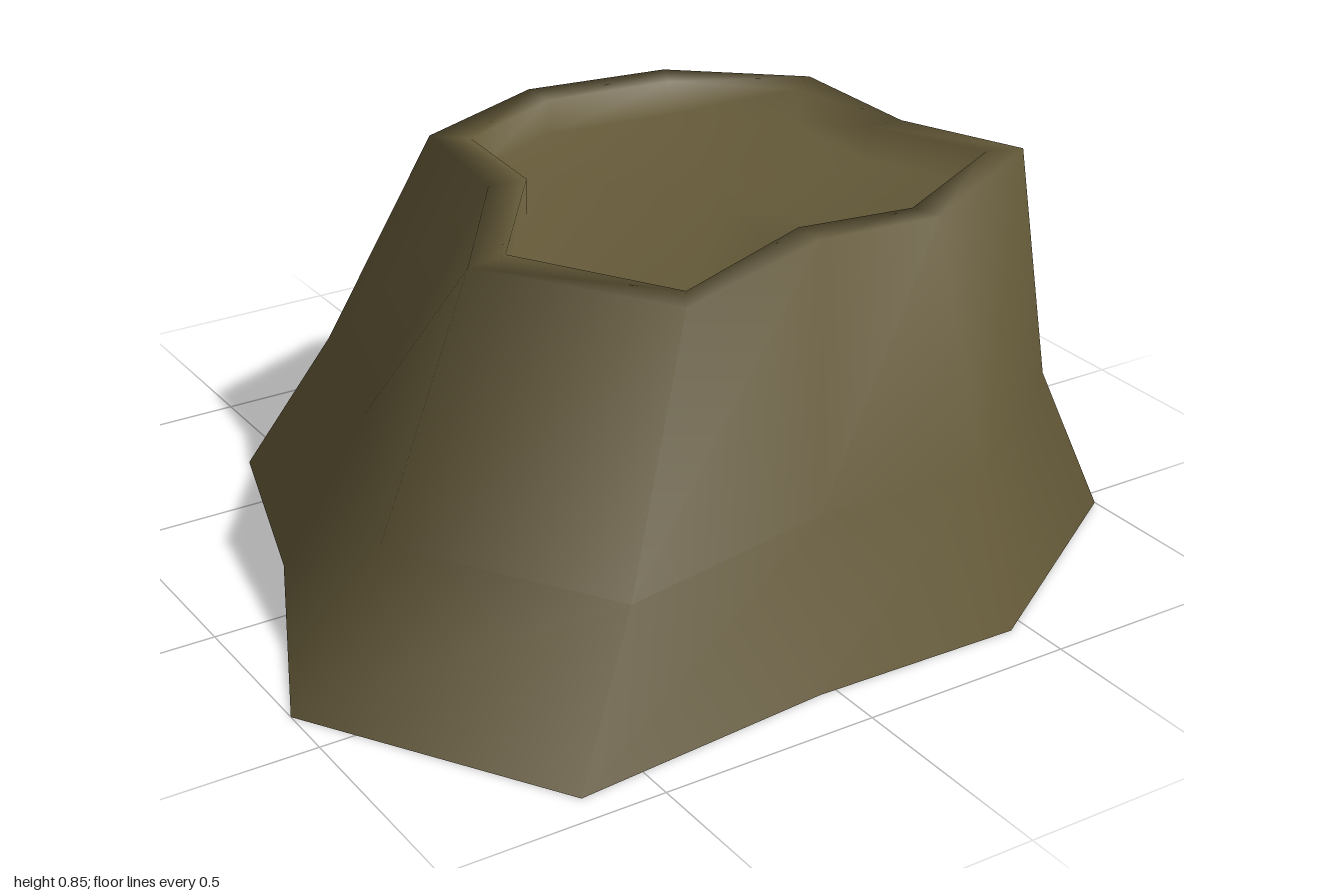
import * as THREE from 'three';

// Cross-sections as [x, z] corners, running counter-clockwise seen from above
const FOOT = [[-1, .37], [-.65, .93], [-.04, .875], [.46, .885], [1, .54], [.88, .04], [.88, -.49], [.45, -.73], [-.09, -.93], [-.59, -.7], [-.74, -.2]];
const WAIST = [[-.78, .37], [-.48, .84], [.05, .74], [.46, .76], [.88, .46], [.82, .05], [.8, -.42], [.45, -.65], [0, -.81], [-.42, -.58], [-.54, -.17]];
const RIM = [[-.51, .27], [-.25, .675], [.18, .53], [.47, .56], [.88, .34], [.76, .05], [.76, -.31], [.49, -.54], [.14, -.59], [-.21, -.44], [-.25, -.1]];
const LIP = [[-.41, .25], [-.2, .6], [.18, .45], [.45, .49], [.8, .31], [.67, .04], [.68, -.25], [.45, -.46], [.14, -.5], [-.14, -.37], [-.16, -.09]];

const TOP = 0.845;
const FLOOR = 0.76;

// Joins stacked rings of equal corner count with smooth normals
function loft(rings) {
  const n = rings[0].points.length, pos = [], index = [];
  for (const { points, y } of rings) for (const [x, z] of points) pos.push(x, y, z);
  for (let r = 0; r < rings.length - 1; r++) {
    for (let i = 0; i < n; i++) {
      const a = r * n + i, b = r * n + (i + 1) % n;
      index.push(a, b, b + n, a, b + n, a + n);
    }
  }
  const g = new THREE.BufferGeometry();
  g.setAttribute('position', new THREE.Float32BufferAttribute(pos, 3));
  g.setIndex(index);
  g.computeVertexNormals();
  return g;
}

// Shrinks a ring towards the middle of the hollow
const shrink = (ring, s) => ring.map(([x, z]) => [.26 + (x - .26) * s, .02 + (z - .02) * s]);

export function createModel() {
  const bark = new THREE.MeshStandardMaterial({ color: 0x655a39, side: THREE.DoubleSide });
  bark.name = 'olive brown';
  const group = new THREE.Group();
  group.name = 'hollowMound';

  // One smooth skin, open underneath: outer wall, flat rim, inner step and sunken floor
  const skin = new THREE.Mesh(loft([
    { points: FOOT, y: 0 },
    { points: WAIST, y: .335 },
    { points: RIM, y: TOP },
    { points: LIP, y: TOP },
    { points: LIP, y: FLOOR },
    { points: shrink(LIP, .001), y: FLOOR },
  ]), bark);
  skin.name = 'wallRimAndFloor';

  group.add(skin);
  return group;
}
